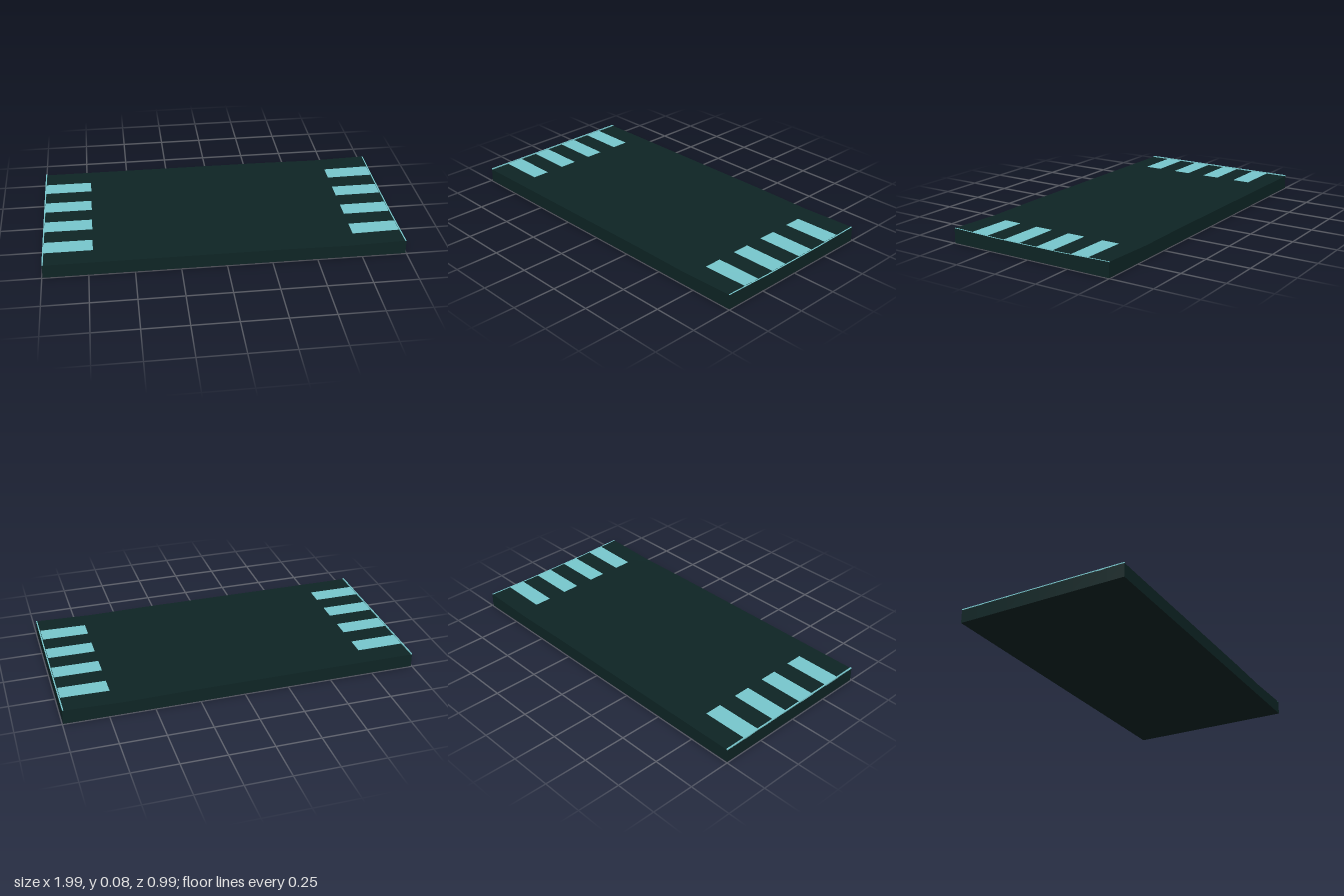
import * as THREE from 'three';

const lerp = THREE.MathUtils.lerp;
const clamp = THREE.MathUtils.clamp;

// Height of the slightly worn road surface: flat, a shallow dip, then raised corners
function surfaceHeight(x, z) {
  if (x < 0.66) return lerp(0.077, 0.073, clamp((x - 0.33) / 0.33, 0, 1));
  const edge = lerp(0.075, 0.082, clamp((Math.abs(z) - 0.2) / 0.295, 0, 1));
  return lerp(0.073, edge, clamp((x - 0.66) / 0.335, 0, 1));
}

// Box whose top follows the road surface, raised by lift; its bottom is flat or follows too
function surfaceBox(x0, x1, z0, z1, lift, thickness, segX, segZ) {
  const geo = new THREE.BoxGeometry(x1 - x0, 1, z1 - z0, segX, 1, segZ);
  geo.translate((x0 + x1) / 2, 0, (z0 + z1) / 2);
  const p = geo.attributes.position;
  for (let i = 0; i < p.count; i++) {
    const top = surfaceHeight(p.getX(i), p.getZ(i)) + lift;
    p.setY(i, p.getY(i) > 0 ? top : thickness ? top - thickness : 0);
  }
  geo.computeVertexNormals();
  return geo;
}

export function createModel() {
  const group = new THREE.Group();
  const asphalt = new THREE.MeshStandardMaterial({ name: 'dark asphalt', color: 0x0e2525 });
  const paint = new THREE.MeshStandardMaterial({ name: 'pale teal paint', color: 0x78c8ce });

  const add = (name, geo, mat) => {
    const mesh = new THREE.Mesh(geo, mat);
    mesh.name = name;
    group.add(mesh);
  };

  // Road slab
  add('roadSlab', surfaceBox(-0.995, 0.995, -0.495, 0.495, 0, 0, 6, 10), asphalt);

  // Crossing stripes at both ends
  [-0.316, -0.1, 0.112, 0.325].forEach((z, i) => {
    add('leftStripe' + i, surfaceBox(-0.995, -0.722, z - 0.051, z + 0.051, 0.0015, 0.004, 1, 1), paint);
    add('rightStripe' + i, surfaceBox(0.72, 0.985, z - 0.051, z + 0.051, 0.0015, 0.004, 2, 2), paint);
  });

  // Thin painted lines along both ends
  add('leftEndLine', surfaceBox(-0.995, -0.988, -0.495, 0.495, 0.006, 0.007, 1, 1), paint);
  add('rightEndLine', surfaceBox(0.987, 0.994, -0.495, 0.495, 0.0008, 0.003, 1, 10), paint);

  return group;
}
